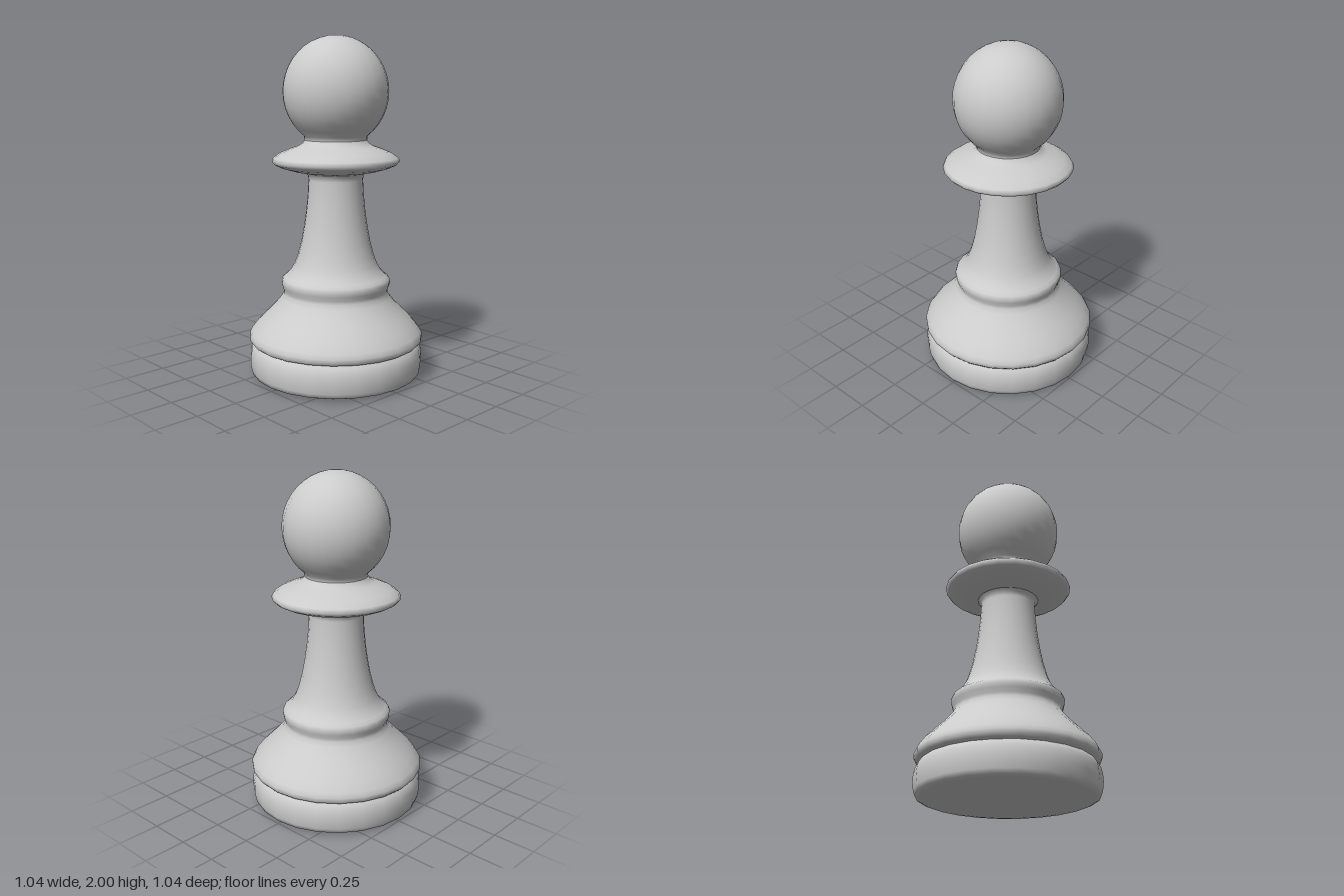
import * as THREE from 'three';

const SIDES = 24;

export function createModel() {
  const group = new THREE.Group();
  const material = new THREE.MeshStandardMaterial({ color: 0xcccccc, side: THREE.DoubleSide });

  // Turn a profile of [radius, height] points around the y axis
  const turn = (name, profile) => {
    const points = profile.map(([r, y]) => new THREE.Vector2(r, y));
    const mesh = new THREE.Mesh(new THREE.LatheGeometry(points, SIDES), material);
    mesh.name = name;
    group.add(mesh);
  };

  // Flat-bottomed disc up to the groove
  turn('base', [
    [0, 0], [0.44, 0.005], [0.48, 0.01], [0.503, 0.02], [0.511, 0.045], [0.517, 0.09],
    [0.515, 0.13], [0.508, 0.165], [0.495, 0.185], [0.483, 0.2],
  ]);

  // Sloping skirt above the groove, ending in a rounded ring
  turn('skirt', [
    [0.483, 0.2], [0.505, 0.208], [0.517, 0.222], [0.518, 0.245], [0.505, 0.27], [0.47, 0.315],
    [0.42, 0.365], [0.365, 0.42], [0.325, 0.468], [0.31, 0.495], [0.31, 0.515], [0.32, 0.54],
    [0.324, 0.565], [0.317, 0.585], [0.295, 0.603],
  ]);

  // Tapering stem, flaring slightly under the collar
  turn('stem', [
    [0.295, 0.603], [0.268, 0.63], [0.245, 0.67], [0.225, 0.725], [0.205, 0.8], [0.188, 0.89],
    [0.175, 0.98], [0.165, 1.08], [0.16, 1.17], [0.163, 1.195], [0.18, 1.21],
  ]);

  // Thin-edged collar
  turn('collar', [
    [0.18, 1.21], [0.25, 1.223], [0.32, 1.243], [0.36, 1.262], [0.375, 1.28], [0.364, 1.3],
    [0.325, 1.327], [0.27, 1.35], [0.22, 1.367], [0.195, 1.383], [0.183, 1.402],
  ]);

  // Slightly tall ball, starting at the neck
  const head = [[0.183, 1.402]];
  const start = -0.93, steps = 16;
  for (let i = 0; i <= steps; i++) {
    const a = start + (Math.PI / 2 - start) * (i / steps);
    head.push([Math.max(0, 0.308 * Math.cos(a)), 1.68 + 0.32 * Math.sin(a)]);
  }
  turn('head', head);

  return group;
}
